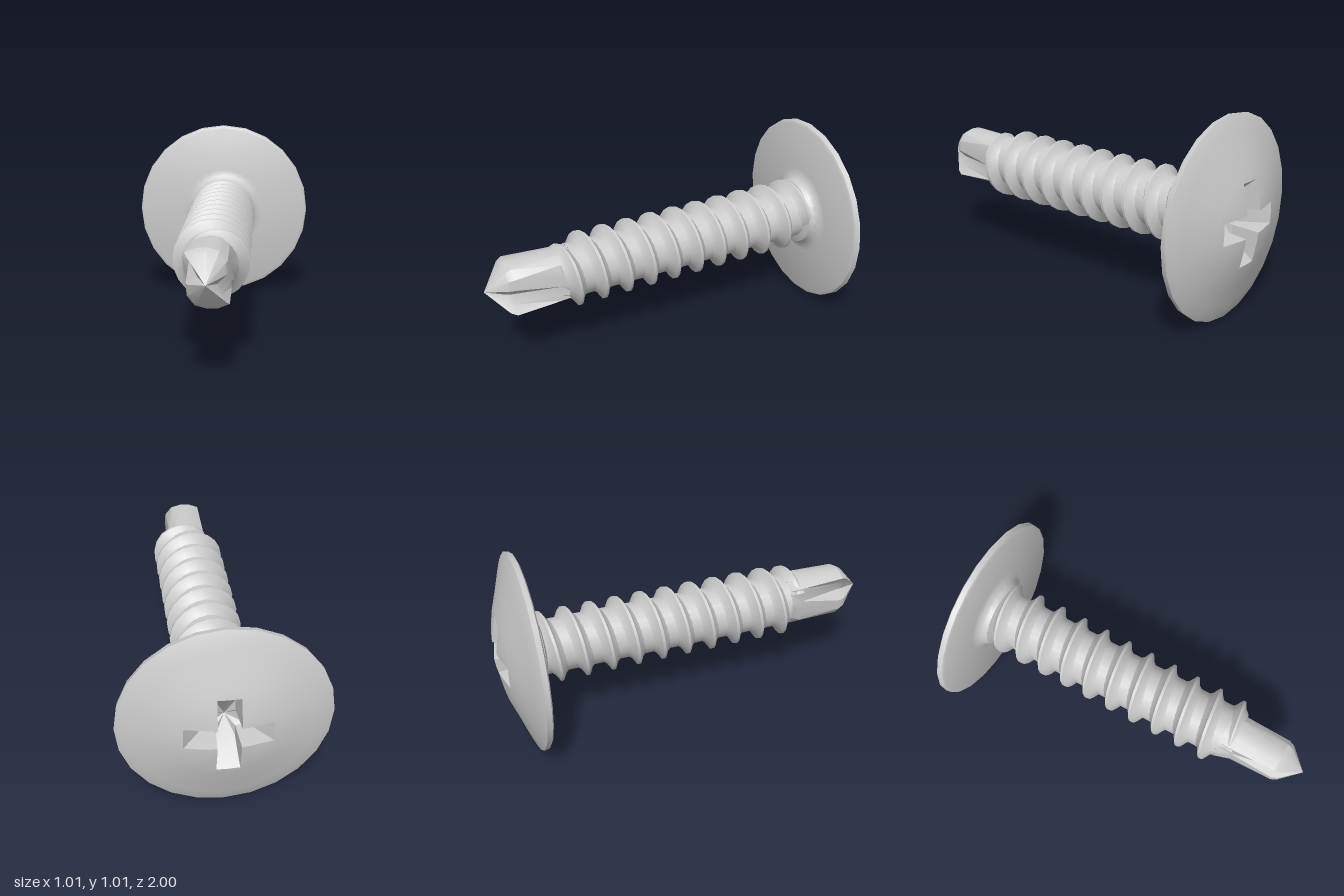
import * as THREE from 'three';
import { toCreasedNormals } from 'three/addons/utils/BufferGeometryUtils.js';

const AXIS_Y = 0.507; // height of the screw's axis
const SIDES = 24;
const TAU = Math.PI * 2;
const material = new THREE.MeshStandardMaterial({ color: 0xcccccc });

// Skin a series of cross-sections (arrays of [x, y, z])
function loft(name, loops, closed = true, crease = 0.5) {
  const n = loops[0].length;
  const index = [];
  for (let j = 0; j < loops.length - 1; j++) {
    for (let i = 0; i < (closed ? n : n - 1); i++) {
      const k = (i + 1) % n;
      const a = j * n + i, b = j * n + k, c = a + n, d = b + n;
      index.push(a, b, d, a, d, c);
    }
  }
  const geo = new THREE.BufferGeometry();
  geo.setAttribute('position', new THREE.Float32BufferAttribute(loops.flat(2), 3));
  geo.setIndex(index);
  const mesh = new THREE.Mesh(toCreasedNormals(geo, crease), material);
  mesh.name = name;
  return mesh;
}

const ring = (r, z) => Array.from({ length: SIDES }, (_, i) => {
  const a = (i / SIDES) * TAU;
  return [r * Math.cos(a), r * Math.sin(a), z];
});

// Cross outline with arm reach R and half width w, one point per side
function cross(R, w) {
  const m = w * Math.sqrt(3);
  const quarter = [[R, 0], [R, w], [m, w], [w, w], [w, m], [w, R]];
  const points = [];
  for (let q = 0; q < 4; q++) {
    for (let [x, y] of quarter) {
      for (let k = 0; k < q; k++) [x, y] = [-y, x];
      points.push([x, y]);
    }
  }
  return points;
}

// Domed washer head with a cross recess
function makeHead() {
  const dome = [[0, -1.0], [0.07, -1.0], [0.15, -0.988], [0.24, -0.965], [0.34, -0.928], [0.42, -0.9], [0.475, -0.88], [0.505, -0.865]];
  const domeZ = (r) => {
    const i = Math.max(1, dome.findIndex((p) => p[0] >= r));
    const [r0, z0] = dome[i - 1], [r1, z1] = dome[i];
    return z0 + ((z1 - z0) * (r - r0)) / (r1 - r0);
  };
  const mouth = cross(0.205, 0.055);
  // dome rings that stop at the mouth of the recess
  const cut = (R) => mouth.map(([x, y]) => {
    const r = Math.hypot(x, y), s = Math.max(1, R / r);
    return [x * s, y * s, domeZ(r * s)];
  });
  const loops = [
    ring(0, -0.82),
    cross(0.105, 0.046).map(([x, y]) => [x, y, -0.86]),
    cut(0), cut(0.11), cut(0.16),
    ...dome.slice(3).map(([r, z]) => ring(r, z)),
    ring(0.5, -0.838), ring(0.485, -0.83), // rim
    ring(0.24, -0.83), ring(0.205, -0.822), ring(0.185, -0.805), ring(0.175, -0.78), ring(0.13, -0.765), // fillet
  ];
  return loft('head', loops);
}

// Helical ridge around the shank, fading out at both ends
function makeThread() {
  const pitch = 0.135, start = -10.1, end = 0.4, steps = 220;
  const profile = [[0.047, 0], [0.028, 0.3], [0.007, 1], [-0.007, 1], [-0.028, 0.3], [-0.047, 0]];
  const loops = [];
  for (let s = 0; s <= steps; s++) {
    const t = start + ((end - start) * s) / steps;
    const a = t * TAU;
    const z = 0.6 + pitch * (t - 0.25);
    const fade = Math.min(1, (t - start) / 0.15, (end - t) / 0.3);
    loops.push(profile.map(([dz, h]) => {
      const r = 0.134 + 0.052 * h * fade;
      return [r * Math.cos(a), r * Math.sin(a), z + dz * (0.4 + 0.6 * fade)];
    }));
  }
  return loft('thread', loops, false, 0.6);
}

// Drill point with two opposite flutes
function makeDrillPoint() {
  // half sections, the other half is turned 180 degrees
  const back = [[-0.1, 0.1], [-0.05, 0.128], [0, 0.14], [0.05, 0.132], [0.09, 0.1], [0.1, 0.04], [0.098, -0.02], [0.098, -0.07]];
  const front = [[-0.1, 0.115], [-0.05, 0.135], [0, 0.138], [0.055, 0.123], [0.09, 0.08], [0.095, 0.025], [0.05, -0.02], [0.068, -0.07]];
  const section = (half, z, s = 1) => [...half, ...half.map(([x, y]) => [-x, -y])]
    .map(([x, y]) => [x * s, y * s, z]).reverse();
  const round = back.map(([x, y]) => {
    const k = 0.138 / Math.hypot(x, y);
    return [x * k, y * k];
  });
  return loft('drillPoint', [
    section(round, 0.56),
    section(back, 0.635),
    section(front, 0.87),
    section(front, 0.9, 0.88),
    section(front, 1.0, 0),
  ], true, 0.45);
}

export function createModel() {
  const screw = new THREE.Group();
  screw.name = 'screw';
  screw.add(
    makeHead(),
    loft('shank', [ring(0.138, -0.81), ring(0.138, 0.56)]),
    makeThread(),
    makeDrillPoint(),
  );
  screw.children.forEach((part) => { part.position.y = AXIS_Y; });
  return screw;
}
